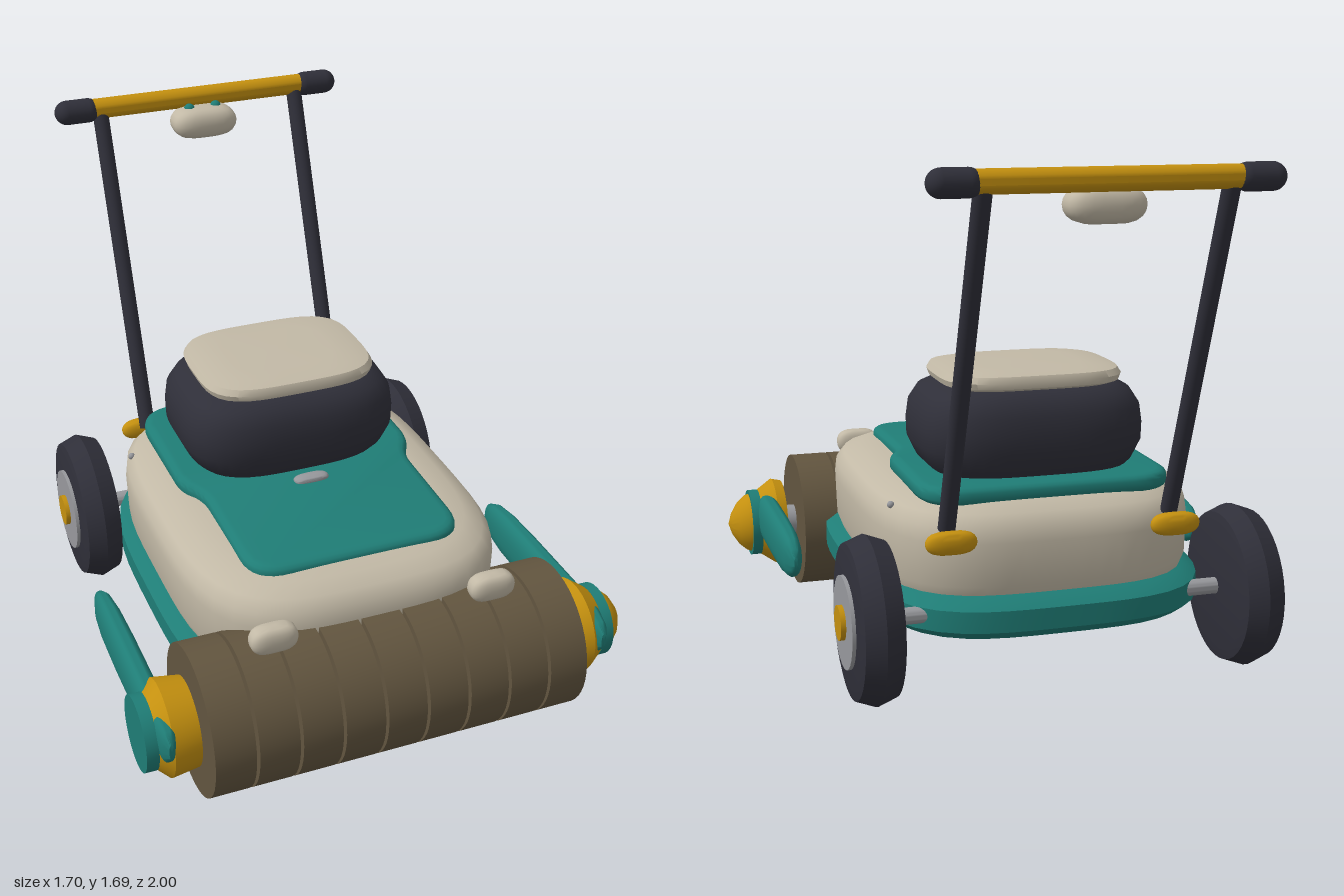
import * as THREE from 'three';
import { toCreasedNormals } from 'three/addons/utils/BufferGeometryUtils.js';

const CX = -0.04; // centre line of the body

export function createModel() {
  const root = new THREE.Group();
  const material = (name, color) => {
    const m = new THREE.MeshStandardMaterial({ color });
    m.name = name;
    return m;
  };
  const cream = material('cream', 0xc2b9a6);
  const teal = material('teal', 0x1f7d76);
  const gold = material('gold', 0xc4900f);
  const dark = material('charcoal', 0x2f2f39);
  const brown = material('brown', 0x62553f);
  const grey = material('grey', 0x97989c);

  const add = (name, geometry, mat, x = 0, y = 0, z = 0) => {
    const mesh = new THREE.Mesh(geometry, mat);
    mesh.name = name;
    mesh.position.set(x, y, z);
    root.add(mesh);
    return mesh;
  };

  // Closed superellipse loft along y; rings are [y, halfX, halfZ, centreZ]
  const loft = (rings, power = 4, seg = 56) => {
    const first = rings[0], last = rings[rings.length - 1];
    const pos = [], idx = [];
    rings.forEach(([y, hx, hz, cz = 0]) => {
      for (let i = 0; i < seg; i++) {
        const t = (i / seg) * Math.PI * 2, c = Math.cos(t), s = Math.sin(t);
        const r = (Math.abs(c) ** power + Math.abs(s) ** power) ** (-1 / power);
        pos.push(hx * r * c, y, cz + hz * r * s);
      }
    });
    const bottom = pos.length / 3;
    pos.push(0, first[0], first[3] || 0, 0, last[0], last[3] || 0);
    const top = (rings.length - 1) * seg;
    for (let i = 0; i < seg; i++) {
      const n = (i + 1) % seg;
      for (let j = 0; j < rings.length - 1; j++) {
        const a = j * seg + i, b = j * seg + n;
        idx.push(a, a + seg, b, b, a + seg, b + seg);
      }
      idx.push(bottom, i, n, bottom + 1, top + n, top + i);
    }
    const g = new THREE.BufferGeometry();
    g.setAttribute('position', new THREE.Float32BufferAttribute(pos, 3));
    g.setIndex(idx);
    return toCreasedNormals(g, 0.8);
  };

  // Soft pillow of given half sizes
  const pillow = (hx, hy, hz, power = 3) => {
    const rings = [];
    for (let i = 0; i <= 10; i++) {
      const a = (i / 10 - 0.5) * Math.PI, k = Math.max(Math.cos(a), 0.01) ** 0.5;
      rings.push([Math.sin(a) * hy, hx * k, hz * k]);
    }
    return loft(rings, power, 28);
  };

  // Turned part along x; profile is [radius, x] with x rising
  const turned = (profile, seg = 40) => {
    const g = new THREE.LatheGeometry(profile.map(([r, x]) => new THREE.Vector2(r, x)), seg);
    return toCreasedNormals(g.rotateZ(-Math.PI / 2), 0.6);
  };
  const rod = (r, x0, x1, seg = 32) => turned([[0, x0], [r, x0], [r, x1], [0, x1]], seg);

  // Deck: lower skirt and domed shell
  add('skirt', loft([
    [0.2, 0.54, 0.72, 0.105], [0.23, 0.575, 0.755, 0.105],
    [0.3, 0.575, 0.755, 0.105], [0.33, 0.53, 0.71, 0.105],
  ], 3.5), teal, CX);
  add('deckShell', loft([
    [0.32, 0.525, 0.665, 0.09], [0.36, 0.54, 0.68, 0.09], [0.5, 0.545, 0.68, 0.09],
    [0.55, 0.54, 0.67, 0.09], [0.585, 0.515, 0.64, 0.09], [0.61, 0.46, 0.585, 0.09],
    [0.62, 0.39, 0.52, 0.09],
  ], 3.6), cream, CX);

  // Keyhole-shaped top panel with rounded corners
  const half = [[0.425, -0.49, 0.15], [0.425, 0.04, 0.06], [0.37, 0.13, 0.06], [0.37, 0.62, 0.13]];
  const corners = [...half, ...half.map(([x, z, r]) => [-x, z, r]).reverse()];
  const shape = new THREE.Shape();
  corners.forEach(([x, z, r], i) => {
    const p = new THREE.Vector2(x, z);
    const toward = (k) => {
      const [qx, qz] = corners[(i + k + corners.length) % corners.length];
      const d = new THREE.Vector2(qx, qz).sub(p);
      return d.setLength(Math.min(r, d.length() / 2)).add(p);
    };
    const a = toward(-1), b = toward(1);
    if (i === 0) shape.moveTo(a.x, a.y); else shape.lineTo(a.x, a.y);
    shape.quadraticCurveTo(x, z, b.x, b.y);
  });
  shape.closePath();
  const panel = new THREE.ExtrudeGeometry(shape, {
    depth: 0.02, bevelSize: 0.03, bevelOffset: -0.03, bevelThickness: 0.02, bevelSegments: 3, curveSegments: 8,
  }).rotateX(Math.PI / 2);
  const pp = panel.attributes.position;
  for (let i = 0; i < pp.count; i++) pp.setY(i, pp.getY(i) - Math.max(0, pp.getZ(i)) * 0.03);
  add('topPanel', toCreasedNormals(panel, 0.7), teal, CX, 0.64, 0);
  add('panelLatch', pillow(0.062, 0.014, 0.026), grey, CX, 0.657, 0.177);

  // Engine block and its cap
  add('engineHousing', loft([
    [0.65, 0.32, 0.25], [0.68, 0.35, 0.272], [0.74, 0.378, 0.292], [0.8, 0.38, 0.294],
    [0.86, 0.372, 0.288], [0.91, 0.34, 0.265], [0.935, 0.29, 0.225],
  ], 3.4), dark, CX, 0, -0.143);
  add('engineCap', loft([
    [0.932, 0.27, 0.21], [0.945, 0.3, 0.24], [0.965, 0.307, 0.245],
    [0.985, 0.295, 0.235], [0.994, 0.25, 0.2], [0.997, 0.18, 0.14],
  ], 3.8), cream, CX, 0, -0.143);

  // Rear axle and wheels
  add('rearAxle', rod(0.027, -0.62, 0.62), grey, CX, 0.273, -0.52);
  for (const side of [-1, 1]) {
    const x = CX + side * 0.62;
    add('rearTyre', turned([
      [0, -0.07], [0.21, -0.07], [0.245, -0.062], [0.268, 0],
      [0.245, 0.062], [0.21, 0.07], [0, 0.07],
    ]), dark, x, 0.273, -0.52);
    add('wheelDisc', rod(0.147, -0.012, 0.012), grey, x + side * 0.07, 0.273, -0.52);
    add('wheelHub', rod(0.055, -0.02, 0.02), gold, x + side * 0.078, 0.273, -0.52);
  }

  // Front roller made of separate rings
  const RY = 0.25, RZ = 0.755;
  add('rollerAxle', rod(0.055, -0.7, 0.68), grey, 0, RY, RZ);
  for (let i = 0; i < 9; i++) {
    add('rollerRing', rod(0.246, -0.0655, 0.0655, 48), brown, CX + (i - 4) * 0.1418, RY, RZ);
  }

  // Roller end caps: plain disc on the right, domed on the left
  add('rightCollar', turned([[0, -0.815], [0.115, -0.815], [0.158, -0.77], [0.145, -0.68], [0, -0.68]]), gold, 0, RY, RZ);
  add('rightEndDisc', rod(0.123, -0.85, -0.81), teal, 0, RY, RZ);
  add('leftCollar', turned([[0, 0.638], [0.152, 0.64], [0.16, 0.675], [0.118, 0.735], [0, 0.735]]), gold, 0, RY, RZ);
  add('leftRing', rod(0.123, 0.73, 0.766), teal, 0, RY, RZ);
  add('leftDome', turned([[0, 0.76], [0.11, 0.762], [0.103, 0.78], [0.078, 0.808], [0.04, 0.832], [0, 0.845]]), gold, 0, RY, RZ);

  // Side arms running back from the roller
  const arm = loft([
    [0.08, 0.006, 0.02], [0.1, 0.02, 0.045], [0.15, 0.032, 0.07], [0.24, 0.039, 0.082],
    [0.4, 0.042, 0.085], [0.7, 0.042, 0.084], [0.83, 0.038, 0.078],
    [0.89, 0.026, 0.06], [0.918, 0.008, 0.03],
  ], 2.4, 28).rotateX(Math.PI / 2);
  for (const side of [-1, 1]) add('sideArm', arm, teal, CX + side * 0.742, 0.285, 0);

  // Paired details: bumpers, lugs, screws, handle posts
  const low = new THREE.Vector3(0, 0.55, -0.535), high = new THREE.Vector3(0, 1.63, -0.945);
  for (const side of [-1, 1]) {
    const x = CX + side * 0.372;
    add('frontBumper', pillow(0.078, 0.046, 0.038, 3.5), cream, x, 0.53, 0.8);
    add('handleLug', pillow(0.083, 0.036, 0.03, 2.5), gold, x, 0.52, -0.59);
    add('screw', new THREE.SphereGeometry(0.012, 12, 8), grey, CX + side * 0.497, 0.578, -0.31);
    const post = add('handlePost', new THREE.CylinderGeometry(0.028, 0.028, low.distanceTo(high), 20), dark);
    post.position.copy(low).lerp(high, 0.5).setX(x);
    post.quaternion.setFromUnitVectors(new THREE.Vector3(0, 1, 0), high.clone().sub(low).normalize());
    const grip = new THREE.CapsuleGeometry(0.043, 0.078, 8, 20).rotateZ(Math.PI / 2);
    add('grip', grip, dark, CX + side * 0.455, 1.648, -0.952);
  }

  // Crossbar with control box
  add('crossbar', rod(0.036, -0.44, 0.44, 24), gold, CX, 1.65, -0.952);
  add('controlBox', pillow(0.12, 0.055, 0.07, 3.5), cream, CX, 1.575, -0.9);
  for (const dx of [-0.05, 0.05]) {
    add('controlButton', new THREE.SphereGeometry(0.02, 14, 10), teal, CX + dx, 1.622, -0.905);
  }
  return root;
}
